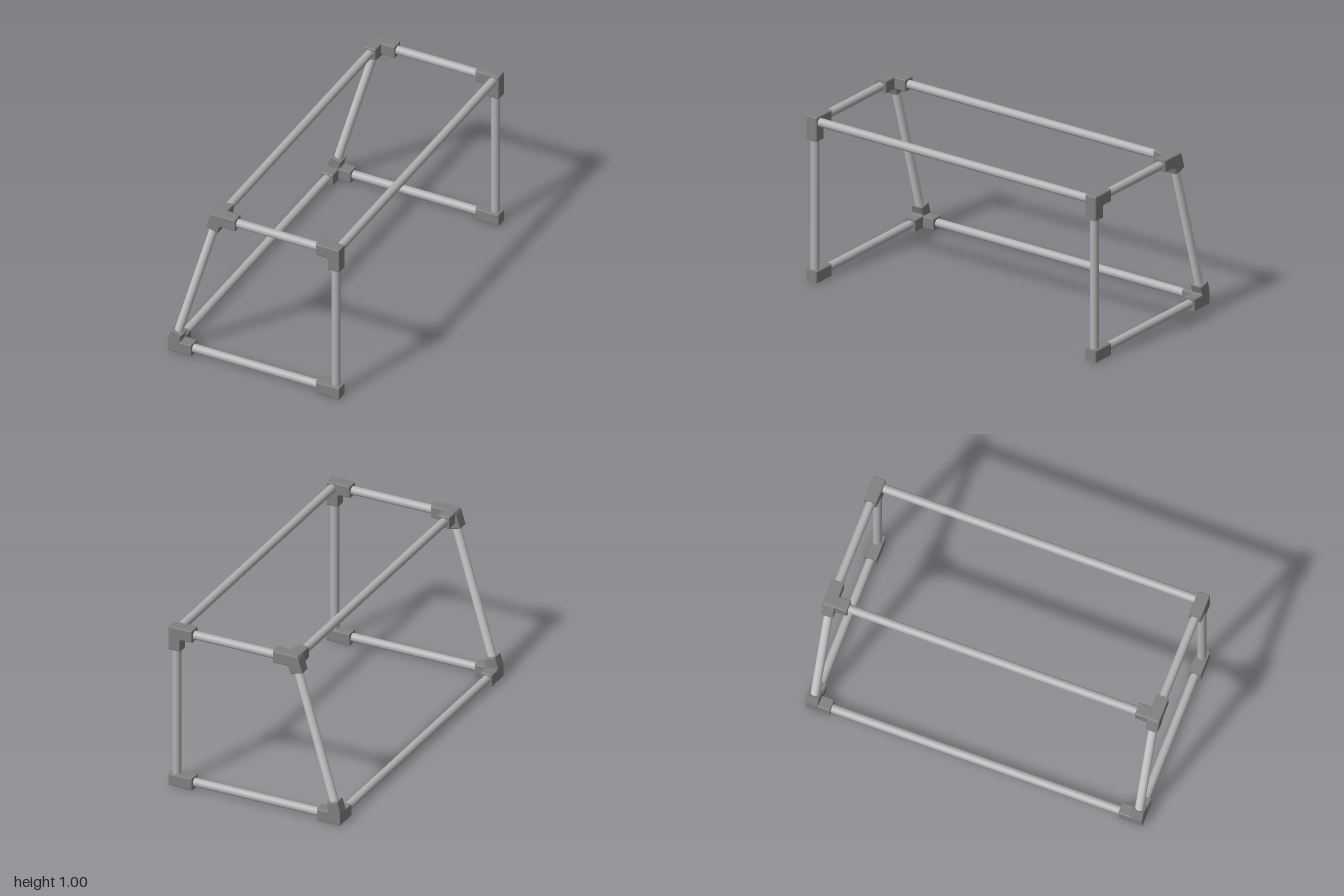
import * as THREE from 'three';
import { RoundedBoxGeometry } from 'three/addons/geometries/RoundedBoxGeometry.js';

const W = 0.073;          // bracket thickness
const R = 0.025;          // pipe radius
const BEVEL = 0.007;      // softened bracket edges
const ZC = 1 - W / 2;     // centre plane of each end frame
const LOW = 0.038, HIGH = 0.963;

// Outline from [x, y, cornerRadius] points, rounding each corner
function roundedShape(points) {
  const shape = new THREE.Shape();
  const n = points.length;
  points.forEach(([x, y, r = 0], i) => {
    const p = new THREE.Vector2(x, y);
    const toward = (q) => new THREE.Vector2(q[0], q[1]).sub(p).setLength(r).add(p);
    const a = r ? toward(points[(i + n - 1) % n]) : p;
    const b = r ? toward(points[(i + 1) % n]) : p;
    if (i === 0) shape.moveTo(a.x, a.y); else shape.lineTo(a.x, a.y);
    if (r) shape.quadraticCurveTo(x, y, b.x, b.y);
  });
  shape.closePath();
  return shape;
}

export function createModel() {
  const model = new THREE.Group();
  model.name = 'pipeFrame';
  const bracketMat = new THREE.MeshStandardMaterial({ color: 0x808080 });
  const pipeMat = new THREE.MeshStandardMaterial({ color: 0xb2b2b2 });
  const slantMat = new THREE.MeshStandardMaterial({ color: 0xcccccc });

  const add = (name, geometry, material, parent) => {
    const mesh = new THREE.Mesh(geometry, material);
    mesh.name = name;
    parent.add(mesh);
    return mesh;
  };

  // Round pipe between two points
  const pipe = (name, from, to, parent, material = pipeMat) => {
    const a = new THREE.Vector3(...from), b = new THREE.Vector3(...to);
    const dir = b.clone().sub(a);
    const mesh = add(name, new THREE.CylinderGeometry(R, R, dir.length(), 32), material, parent);
    mesh.position.copy(a).add(b).multiplyScalar(0.5);
    mesh.quaternion.setFromUnitVectors(new THREE.Vector3(0, 1, 0), dir.normalize());
  };

  // Flat bracket plate with softened edges, centred on z
  const bracket = (name, points, z, parent) => {
    const geo = new THREE.ExtrudeGeometry(roundedShape(points), {
      depth: W - 2 * BEVEL, bevelThickness: BEVEL, bevelSize: BEVEL,
      bevelOffset: -BEVEL, bevelSegments: 2, curveSegments: 6,
    });
    geo.translate(0, 0, -W / 2 + BEVEL);
    add(name, geo, bracketMat, parent).position.z = z;
  };

  // Corner centres of the end frame
  const bottomRear = [0.5, LOW], topRear = [0.5, HIGH];
  const topSlant = [-0.239, HIGH];

  const outlines = {
    squareElbow: [
      [0.388, 1], [0.388, 0.927], [0.464, 0.927, 0.016], [0.464, 0.853],
      [0.536, 0.853], [0.536, 1, 0.008],
    ],
    upperSlantElbow: [
      [-0.115, 1], [-0.271, 1, 0.02], [-0.3, 0.901], [-0.225, 0.88],
      [-0.211, 0.927, 0.014], [-0.115, 0.927],
    ],
    lowerSlantElbow: [
      [-0.537, 0, 0.01], [-0.39, 0], [-0.39, 0.073], [-0.465, 0.073, 0.016],
      [-0.448, 0.124], [-0.518, 0.144], [-0.537, 0.078],
    ],
    footBlock: [[0.388, 0], [0.536, 0], [0.536, 0.073], [0.388, 0.073]],
  };

  for (const [side, s] of [['front', 1], ['back', -1]]) {
    const frame = new THREE.Group();
    frame.name = side + 'EndFrame';
    model.add(frame);
    const z = s * ZC;

    for (const [name, pts] of Object.entries(outlines)) bracket(name, pts, z, frame);

    // Sockets that receive the slanted side's long pipes
    for (const [name, x, y] of [['upperSocket', -0.234, HIGH], ['lowerSocket', -0.5, W / 2]]) {
      const socket = new RoundedBoxGeometry(W, W, 0.142, 2, BEVEL);
      add(name, socket, bracketMat, frame).position.set(x, y, s * 0.926);
    }

    // Pipes of the end frame
    pipe('topPipe', [...topSlant, z], [...topRear, z], frame);
    pipe('bottomPipe', [-0.47, LOW, z], [...bottomRear, z], frame);
    pipe('uprightPipe', [...bottomRear, z], [...topRear, z], frame);
    pipe('slantedPipe', [-0.498, 0.08, z], [...topSlant, z], frame, slantMat);
  }

  // Long pipes joining the two end frames
  pipe('upperRightLongPipe', [-0.235, HIGH, -ZC], [-0.235, HIGH, ZC], model);
  pipe('lowerRightLongPipe', [-0.503, LOW, -ZC], [-0.503, LOW, ZC], model);
  pipe('upperLeftLongPipe', [...topRear, -ZC], [...topRear, ZC], model);

  return model;
}
